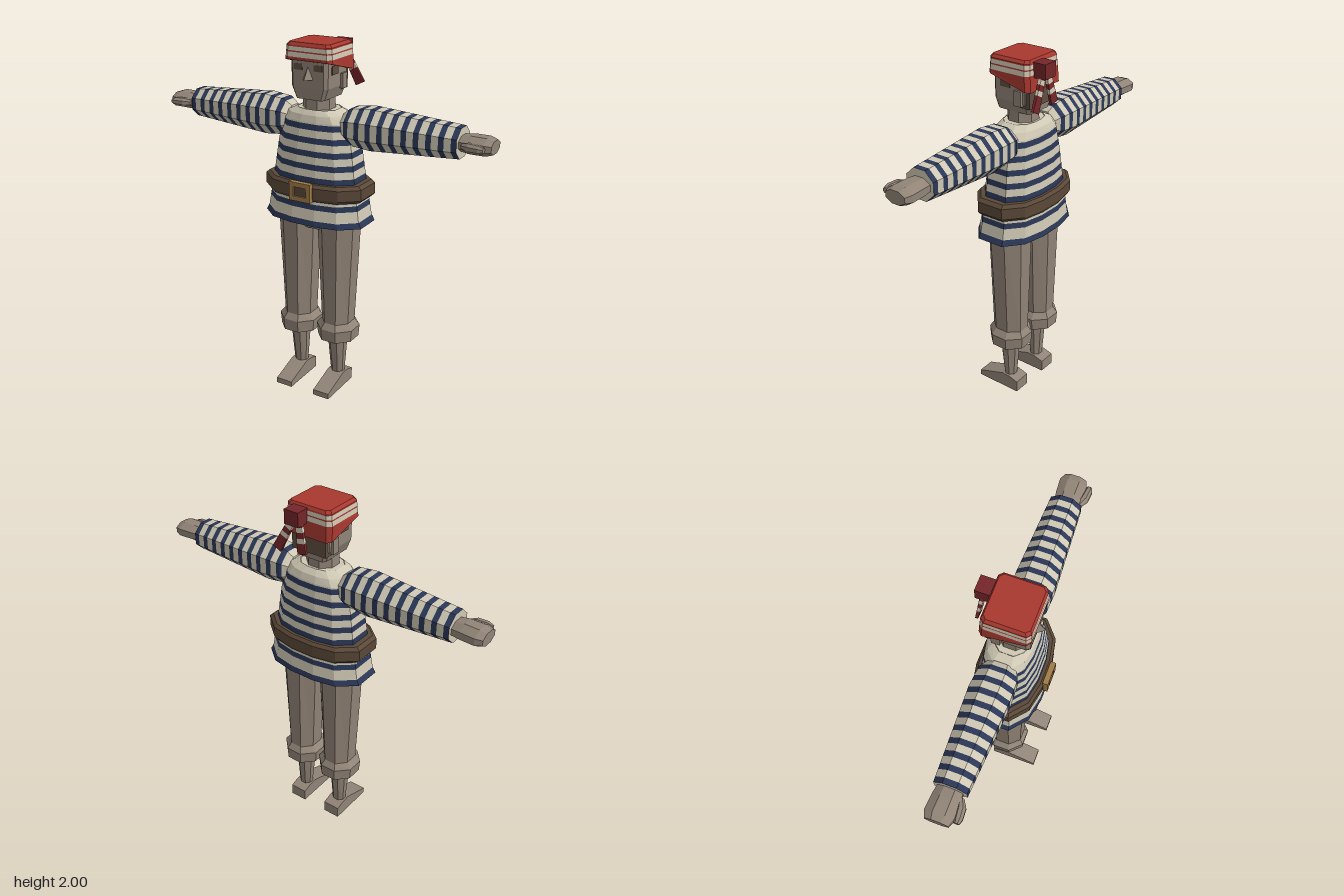
import * as THREE from 'three';

const mat = (name, color, side = THREE.FrontSide) => {
  const m = new THREE.MeshStandardMaterial({ color, flatShading: true, side });
  m.name = name;
  return m;
};
const skin = mat('skin and trousers', 0x918477);
const cream = mat('cream cloth', 0xcfc8b4, THREE.DoubleSide);
const navy = mat('navy cloth', 0x2a3757, THREE.DoubleSide);
const leather = mat('belt leather', 0x5a4838);
const brass = mat('buckle brass', 0xa07c45);
const red = mat('red cloth', 0xa8382f);
const darkRed = mat('dark red cloth', 0x742529);
const dark = mat('dark brown hair and eyes', 0x5e4e40);

// Cross-sections as [x, z] points of unit half-size
const oct = Array.from({ length: 8 }, (_, i) => {
  const a = (i + 0.5) * Math.PI / 4, s = 1 / Math.cos(Math.PI / 8);
  return [Math.cos(a) * s, Math.sin(a) * s];
});
const bodySection = [[1, -0.42], [1, 0.42], [0.68, 0.86], [0.25, 1], [-0.25, 1], [-0.68, 0.86],
  [-1, 0.42], [-1, -0.42], [-0.68, -0.86], [-0.25, -1], [0.25, -1], [0.68, -0.86]];
const boxSection = [[1, -0.84], [1, 0.84], [0.84, 1], [-0.84, 1], [-1, 0.84], [-1, -0.84], [-0.84, -1], [0.84, -1]];

// Lofts a section through stations [y, halfX, halfZ, centreZ, tilt];
// bands [from, to] take the second material
function loft(name, section, stations, mats, bands = [], caps = true) {
  const last = stations.length - 1;
  const at = (y) => {
    let k = 0;
    while (k < last - 1 && y > stations[k + 1][0]) k++;
    const a = stations[k], b = stations[k + 1], t = (y - a[0]) / (b[0] - a[0]);
    return [0, 1, 2, 3, 4].map((i) => (a[i] || 0) * (1 - t) + (b[i] || 0) * t);
  };
  const lo = stations[0][0], hi = stations[last][0];
  const cuts = [...stations.map((s) => s[0]), ...bands.flat()].filter((y) => y >= lo && y <= hi);
  const ys = [...new Set(cuts)].sort((a, b) => a - b);
  const rings = ys.map((y) => {
    const [h, rx, rz, cz, tilt] = at(y);
    return section.map(([x, z]) => [x * rx, h + tilt * z * rz, z * rz + cz]);
  });
  const pos = [], groups = [], n = section.length;
  const group = (start, index) => groups.push([start, pos.length / 3 - start, index]);
  const inBand = (y) => (bands.some(([a, b]) => y > a && y < b) ? 1 : 0);
  for (let r = 0; r + 1 < rings.length; r++) {
    const start = pos.length / 3;
    for (let i = 0; i < n; i++) {
      const j = (i + 1) % n, A = rings[r][i], B = rings[r][j], C = rings[r + 1][j], D = rings[r + 1][i];
      pos.push(...A, ...D, ...C, ...A, ...C, ...B);
    }
    group(start, inBand((ys[r] + ys[r + 1]) / 2));
  }
  if (caps) {
    const start = pos.length / 3, bottom = rings[0], top = rings[rings.length - 1];
    for (let i = 1; i < n - 1; i++) {
      pos.push(...bottom[0], ...bottom[i], ...bottom[i + 1], ...top[0], ...top[i + 1], ...top[i]);
    }
    group(start, 0);
  }
  const g = new THREE.BufferGeometry();
  g.setAttribute('position', new THREE.Float32BufferAttribute(pos, 3));
  if (Array.isArray(mats)) groups.forEach((q) => g.addGroup(...q));
  g.computeVertexNormals();
  const m = new THREE.Mesh(g, mats);
  m.name = name;
  return m;
}

function box(name, material, size, position) {
  const m = new THREE.Mesh(new THREE.BoxGeometry(...size), material);
  m.name = name;
  m.position.set(...position);
  return m;
}

// Extrudes an outline across a thickness centred on its own plane
function slab(name, points, thickness, material, hole) {
  const s = new THREE.Shape(points.map((p) => new THREE.Vector2(...p)));
  if (hole) s.holes.push(new THREE.Path(hole.map((p) => new THREE.Vector2(...p))));
  const g = new THREE.ExtrudeGeometry(s, { depth: thickness, bevelEnabled: false });
  g.translate(0, 0, -thickness / 2);
  const m = new THREE.Mesh(g, material);
  m.name = name;
  return m;
}

function makeLeg(side) {
  const leg = new THREE.Group();
  leg.name = side > 0 ? 'leftLeg' : 'rightLeg';
  leg.position.x = side * 0.125;
  leg.add(loft('trouserLeg', oct, [[0.32, 0.108, 0.112, -0.005], [0.39, 0.114, 0.116, -0.005],
    [0.425, 0.085, 0.095, -0.005], [1.1, 0.116, 0.112, -0.005]], skin));
  leg.add(loft('shin', oct, [[0.06, 0.036, 0.03, -0.005], [0.34, 0.055, 0.056]], skin));
  // Wedge foot, narrower at the heel
  const foot = slab('foot', [[-0.19, 0], [0.085, 0], [0.085, 0.068], [0.03, 0.085], [-0.02, 0.088], [-0.19, 0.032]], 0.1, skin);
  foot.rotation.y = Math.PI / 2;
  leg.add(foot);
  return leg;
}

function makeArm(side) {
  const arm = new THREE.Group();
  arm.name = side > 0 ? 'leftArm' : 'rightArm';
  arm.position.y = 1.573;
  arm.rotation.z = -side * Math.PI / 2;
  // Sleeve runs along the local y axis, from shoulder to cuff
  const bands = Array.from({ length: 10 }, (_, i) => [0.782 - i * 0.0655, 0.811 - i * 0.0655]);
  arm.add(loft('sleeve', oct, [[0.16, 0.065, 0.075, -0.012], [0.205, 0.098, 0.1, -0.012],
    [0.32, 0.11, 0.107, -0.014], [0.811, 0.078, 0.084, -0.02]], [cream, navy], bands));
  arm.add(loft('hand', oct, [[0.79, 0.036, 0.062, -0.02], [0.86, 0.046, 0.07, -0.022],
    [0.94, 0.045, 0.074, -0.024], [0.977, 0.034, 0.06, -0.024]], skin));
  arm.add(loft('thumb', oct, [[0.83, 0.014, 0.018, 0.04], [0.87, 0.025, 0.024, 0.058],
    [0.925, 0.023, 0.022, 0.064], [0.95, 0.014, 0.014, 0.064]], skin));
  return arm;
}

function makeHead() {
  const head = new THREE.Group();
  head.name = 'head';
  head.add(loft('neck', oct, [[1.58, 0.085, 0.08], [1.73, 0.08, 0.076]], skin));
  head.add(loft('face', boxSection, [[1.708, 0.085, 0.104], [1.77, 0.109, 0.11], [1.96, 0.112, 0.112]], skin));
  // Triangular nose
  const nose = new THREE.BufferGeometry();
  const top = [0, 1.885, 0.108], l = [0.032, 1.815, 0.108], r = [-0.032, 1.815, 0.108], tip = [0, 1.815, 0.152];
  nose.setAttribute('position', new THREE.Float32BufferAttribute(
    [...top, ...tip, ...l, ...top, ...r, ...tip, ...r, ...l, ...tip], 3));
  nose.computeVertexNormals();
  const noseMesh = new THREE.Mesh(nose, skin);
  noseMesh.name = 'nose';
  head.add(noseMesh);
  // Hair at the nape
  head.add(box('napeHair', dark, [0.21, 0.13, 0.06], [0, 1.81, -0.087]));
  for (const s of [-1, 1]) {
    head.add(box('eye', dark, [0.052, 0.032, 0.008], [s * 0.06, 1.876, 0.109]));
    head.add(box('temple', dark, [0.008, 0.045, 0.06], [s * 0.111, 1.862, 0.03]));
    head.add(box('ear', skin, [0.024, 0.08, 0.045], [s * 0.112, 1.795, -0.055]));
  }
  // Headscarf, lower at the back
  head.add(loft('headscarf', boxSection, [[1.875, 0.143, 0.13, -0.007, 0.27], [1.922, 0.14, 0.127, -0.004],
    [1.985, 0.134, 0.123, -0.003], [2, 0.12, 0.113, -0.003]], [red, cream], [[1.925, 1.95], [1.957, 1.978]]));
  head.add(box('scarfKnot', darkRed, [0.086, 0.078, 0.08], [0.043, 1.95, -0.16]));
  for (const [x, angle, len] of [[0.06, 0.47, 0.19], [0.02, -0.2, 0.16]]) {
    const tail = loft('scarfTail', boxSection, [[-len, 0.027, 0.008, -0.018], [0, 0.018, 0.012]],
      [darkRed, cream], [[-0.05, -0.025], [-0.105, -0.08]]);
    tail.position.set(x, 1.925, -0.165);
    tail.rotation.z = angle;
    head.add(tail);
  }
  return head;
}

function makeBelt() {
  const belt = new THREE.Group();
  belt.name = 'belt';
  belt.add(loft('beltBand', bodySection, [[1.178, 0.285, 0.175, -0.007], [1.195, 0.3, 0.186, -0.007],
    [1.255, 0.3, 0.186, -0.007], [1.272, 0.28, 0.172, -0.007]], leather));
  const rect = (x, y) => [[-x, -y], [x, -y], [x, y], [-x, y]];
  const buckle = slab('buckle', rect(0.065, 0.052), 0.03, brass, rect(0.038, 0.026));
  buckle.position.set(0, 1.229, 0.189);
  belt.add(buckle, box('buckleCentre', leather, [0.078, 0.054, 0.015], [0, 1.229, 0.186]));
  return belt;
}

export function createModel() {
  const model = new THREE.Group();
  model.name = 'sailor';
  // Striped shirt, open at the hem
  const stripes = [[1.03, 1.068], [1.128, 1.158], ...[0, 1, 2, 3, 4].map((i) => [1.271 + i * 0.07, 1.302 + i * 0.07])];
  model.add(loft('shirt', bodySection, [[1.037, 0.302, 0.185, -0.007], [1.07, 0.285, 0.178, -0.007],
    [1.27, 0.252, 0.157, -0.008], [1.45, 0.226, 0.14, -0.009], [1.59, 0.2, 0.122, -0.01],
    [1.625, 0.168, 0.112, -0.008], [1.652, 0.115, 0.09, -0.004]], [cream, navy], stripes, false));
  model.add(loft('collarFill', bodySection, [[1.63, 0.11, 0.088, -0.004], [1.65, 0.113, 0.089, -0.004]], cream));
  model.add(loft('hips', bodySection, [[0.98, 0.11, 0.08, -0.005], [1.06, 0.21, 0.11, -0.005],
    [1.2, 0.24, 0.13, -0.005]], skin));
  model.add(makeBelt(), makeHead());
  for (const side of [1, -1]) model.add(makeLeg(side), makeArm(side));
  return model;
}
